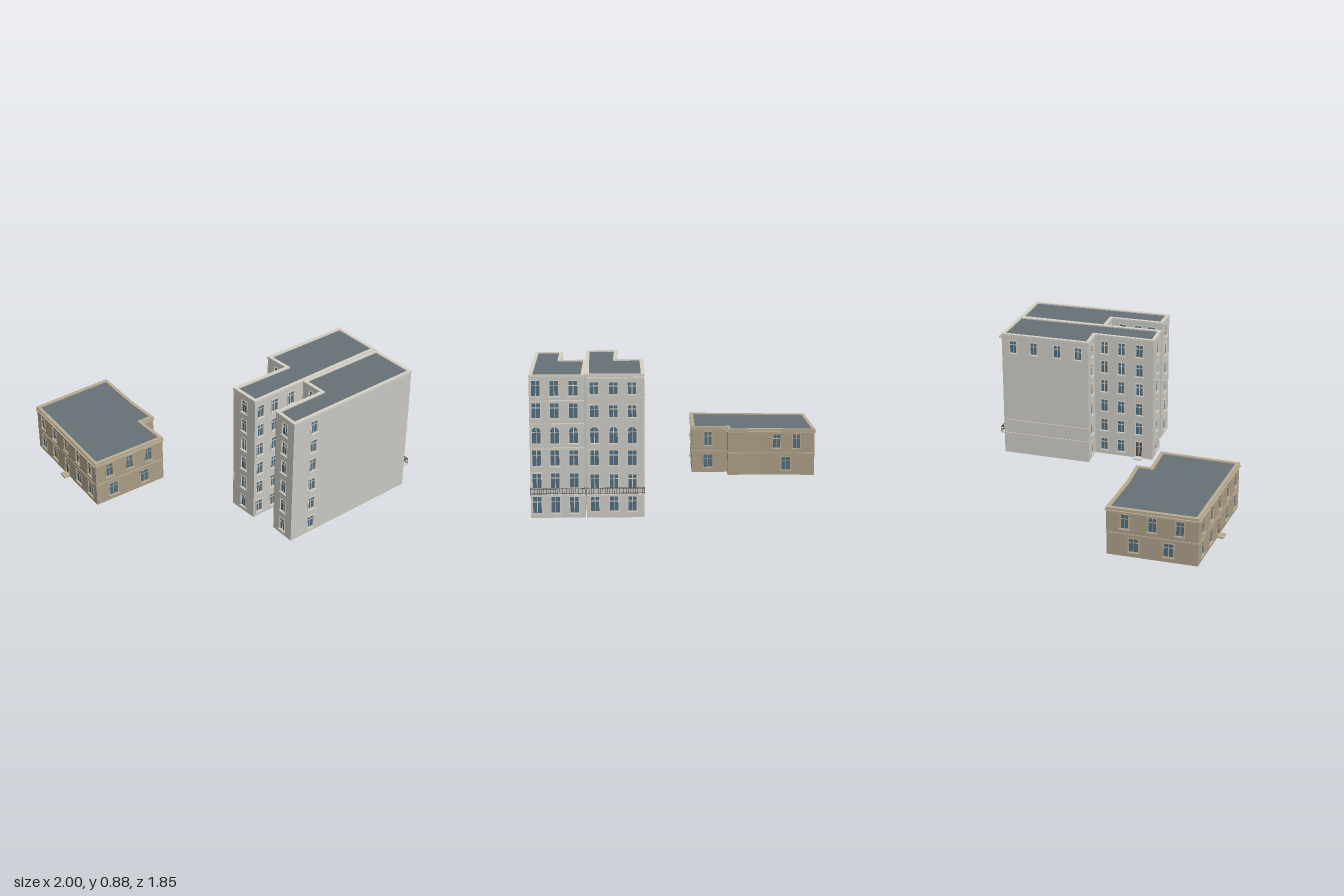
import * as THREE from 'three';
import { mergeGeometries } from 'three/addons/utils/BufferGeometryUtils.js';

const mat = (color) => new THREE.MeshStandardMaterial({ color, side: THREE.DoubleSide });
const STONE = mat(0xc9c7bf), STONE_TRIM = mat(0xd3d0c6), SAND = mat(0xa99c85), SAND_TRIM = mat(0xb8ab92);
const ROOF = mat(0x667075), GLASS = mat(0x4f6b7c), IRON = mat(0x4a4a48), DOOR = mat(0x5a5048);
const THICK = 0.01;

function mesh(name, geo, material, parent) {
  const m = new THREE.Mesh(geo, material);
  m.name = name;
  parent.add(m);
  return m;
}

function box(w, h, d, x, y, z) {
  return new THREE.BoxGeometry(w, h, d).translate(x, y, z);
}

const extrude = (shape, depth) =>
  new THREE.ExtrudeGeometry(shape, { depth, bevelEnabled: false, curveSegments: 8 });

// Rectangle, or round-headed opening, centred on (x, y)
function opening(Type, x, y, w, h, arch) {
  const s = new Type(), l = x - w / 2, r = x + w / 2, b = y - h / 2;
  const t = y + h / 2 - (arch ? w / 2 : 0);
  s.moveTo(l, b).lineTo(r, b).lineTo(r, t);
  if (arch) s.absarc(x, t, w / 2, 0, Math.PI, false);
  else s.lineTo(l, t);
  s.lineTo(l, b);
  return s;
}

// Recessed glass, surround, glazing bars and sill
function addWindow(wall, o, trim) {
  const { x, y, w, h, arch, door } = o;
  const g = new THREE.Group();
  g.name = door ? 'door' : 'window';
  g.position.set(x, y, 0);
  wall.add(g);
  mesh(door ? 'doorLeaf' : 'glass', extrude(opening(THREE.Shape, 0, 0, w, h, arch), 0.002).translate(0, 0, -0.008),
    door ? DOOR : GLASS, g);
  const ring = opening(THREE.Shape, 0, 0, w + 0.012, h + 0.012, arch);
  ring.holes.push(opening(THREE.Path, 0, 0, w, h, arch));
  const frame = [
    extrude(ring, 0.003),
    box(0.004, h, 0.003, 0, 0, -0.005),
    box(w, 0.004, 0.003, 0, h * 0.18, -0.005),
  ];
  if (!door) frame.push(box(w + 0.018, 0.006, 0.01, 0, -h / 2 - 0.004, 0.004));
  mesh('surround', mergeGeometries(frame.map((f) => (f.index ? f.toNonIndexed() : f))), trim, g);
}

// Move a clockwise outline inwards by d
function inset(pts, d) {
  const n = pts.length;
  const normal = (a, b) => {
    const l = Math.hypot(b[0] - a[0], b[1] - a[1]);
    return [(b[1] - a[1]) / l, (a[0] - b[0]) / l];
  };
  return pts.map((p, i) => {
    const u = normal(pts[(i + n - 1) % n], p), v = normal(p, pts[(i + 1) % n]);
    const k = d / (1 + u[0] * v[0] + u[1] * v[1]);
    return [p[0] - (u[0] + v[0]) * k, p[1] - (u[1] + v[1]) * k];
  });
}

const toVectors = (pts) => pts.map(([x, z]) => new THREE.Vector2(x, -z));

// facades[i] = { cols: [{ at, rows, w }], bands: [[y, height, depth]], balcony: depth }
function building(name, pts, height, wallMat, trim, facades) {
  const g = new THREE.Group();
  g.name = name;
  pts.forEach((a, i) => {
    const b = pts[(i + 1) % pts.length], f = facades[i] || {};
    const dx = b[0] - a[0], dz = b[1] - a[1], len = Math.hypot(dx, dz);
    const wall = new THREE.Group();
    wall.name = 'facade' + (i + 1);
    wall.position.set(b[0], 0, b[1]);
    wall.rotation.y = Math.atan2(dz, -dx);
    g.add(wall);

    // Wall panel with window holes
    const panel = opening(THREE.Shape, len / 2, height / 2, len, height);
    for (const { at, rows, w } of f.cols || []) {
      for (const [y, h, style] of rows) {
        const o = { x: len * (1 - at), y, w, h, arch: style === 'arch', door: style === 'door' };
        panel.holes.push(opening(THREE.Path, o.x, y, w, h, o.arch));
        addWindow(wall, o, trim);
        if (o.door) mesh('doorstep', box(w + 0.01, 0.01, 0.04, o.x, 0.005, 0.02), trim, wall);
      }
    }
    mesh('wall', extrude(panel, THICK).translate(0, 0, -THICK), wallMat, wall);

    // String courses and cornices
    for (const [y, h, d] of f.bands || []) mesh('band', box(len, h, d, len / 2, y, d / 2), trim, wall);

    // Balcony slab with iron railing
    if (f.balcony) {
      const d = f.balcony;
      mesh('balconySlab', box(len, 0.009, d, len / 2, 0.146, d / 2), trim, wall);
      const rail = [box(len, 0.004, 0.004, len / 2, 0.188, d - 0.003), box(len, 0.003, 0.003, len / 2, 0.157, d - 0.003)];
      for (const x of [0.002, len - 0.002]) rail.push(box(0.004, 0.004, d, x, 0.188, d / 2));
      const n = Math.round(len / 0.014);
      for (let k = 0; k <= n; k++) rail.push(box(0.0025, 0.04, 0.0025, (len * k) / n, 0.169, d - 0.003));
      mesh('balconyRailing', mergeGeometries(rail), IRON, wall);
    }
  });

  // Parapet coping and sunken flat roof
  const rim = new THREE.Shape(toVectors(inset(pts, -0.003)));
  rim.holes.push(new THREE.Path(toVectors(inset(pts, 0.02))));
  mesh('coping', extrude(rim, 0.012).rotateX(-Math.PI / 2).translate(0, height - 0.011, 0), trim, g);
  const roof = new THREE.ShapeGeometry(new THREE.Shape(toVectors(inset(pts, 0.008))));
  mesh('roof', roof.rotateX(-Math.PI / 2).translate(0, height - 0.007, 0), ROOF, g);
  return g;
}

const columns = (ats, rows, w) => ats.map((at) => ({ at, rows, w }));

export function createModel() {
  const model = new THREE.Group();
  model.name = 'cityBlock';

  // Floors of the tall houses
  const plain = [0.79, 0.65, 0.51, 0.365, 0.22, 0.075].map((y) => [y, 0.085]);
  const withDoor = [...plain.slice(0, 5), [0.065, 0.11, 'door']];
  const street = [[0.795, 0.09], [0.66, 0.09], [0.51, 0.1, 'arch'], [0.37, 0.095], [0.23, 0.09], [0.08, 0.1]];
  const streetLow = [[0.795, 0.07], [0.655, 0.07], [0.51, 0.1, 'arch'], [0.37, 0.09], [0.225, 0.085], [0.085, 0.09]];

  model.add(building('rearTallHouse',
    [[-0.13, 0.39], [0.28, 0.325], [0.245, 0.16], [0.85, 0.055], [0.905, 0.4], [-0.09, 0.59]],
    0.88, STONE, STONE_TRIM, [
      { cols: [...columns([0.24], withDoor, 0.045), ...columns([0.55, 0.84], plain, 0.045)] },
      { cols: columns([0.5], plain, 0.045) },
      { cols: columns([0.12, 0.36, 0.63, 0.87], [plain[0]], 0.045), bands: [[0.15, 0.006, 0.004], [0.25, 0.006, 0.004]] },
      { cols: columns([0.21, 0.53, 0.86], streetLow, 0.05), balcony: 0.025, bands: [[0.857, 0.014, 0.018]] },
      { cols: columns([0.955, 0.84, 0.71], plain, 0.045) },
      { cols: columns([0.5], plain, 0.045) },
    ]));

  model.add(building('frontTallHouse',
    [[-0.03, 0.74], [0.325, 0.675], [0.295, 0.515], [0.905, 0.41], [0.96, 0.735], [-0.005, 0.915]],
    0.875, STONE, STONE_TRIM, [
      { cols: [...columns([0.21], withDoor, 0.045), ...columns([0.48, 0.78], plain, 0.045)] },
      { cols: columns([0.5], plain, 0.045) },
      {},
      {
        cols: columns([0.2, 0.545, 0.88], street, 0.052), balcony: 0.036,
        bands: [[0.72, 0.008, 0.008], [0.58, 0.008, 0.008], [0.43, 0.008, 0.008]],
      },
      { cols: columns([0.834], plain, 0.045) },
      { cols: columns([0.5], plain, 0.045) },
    ]));

  // Low two-storey house
  const upper = [[0.235, 0.095]], lower = [[0.08, 0.09]];
  const low = (up, down, door = []) => ({
    cols: [...columns(up, upper, 0.048), ...columns(down, lower, 0.06), ...columns(door, [[0.065, 0.11, 'door']], 0.05)],
    bands: [[0.152, 0.007, 0.004], [0.3, 0.008, 0.01]],
  });
  model.add(building('lowHouse',
    [[-0.99, -0.82], [-0.43, -0.922], [-0.39, -0.55], [-0.35, -0.335], [-0.445, -0.32], [-0.405, -0.08], [-0.92, -0.005]],
    0.32, SAND, SAND_TRIM, [
      low([0.2, 0.5, 0.8], [0.32, 0.7]),
      low([0.33, 0.69], [0.52]),
      low([], []),
      low([], []),
      low([0.54], [0.54]),
      low([0.22, 0.505, 0.8], [0.29, 0.75]),
      low([0.1, 0.3, 0.5, 0.7, 0.9], [0.1, 0.3, 0.7, 0.9], [0.5]),
    ]));

  return model;
}
